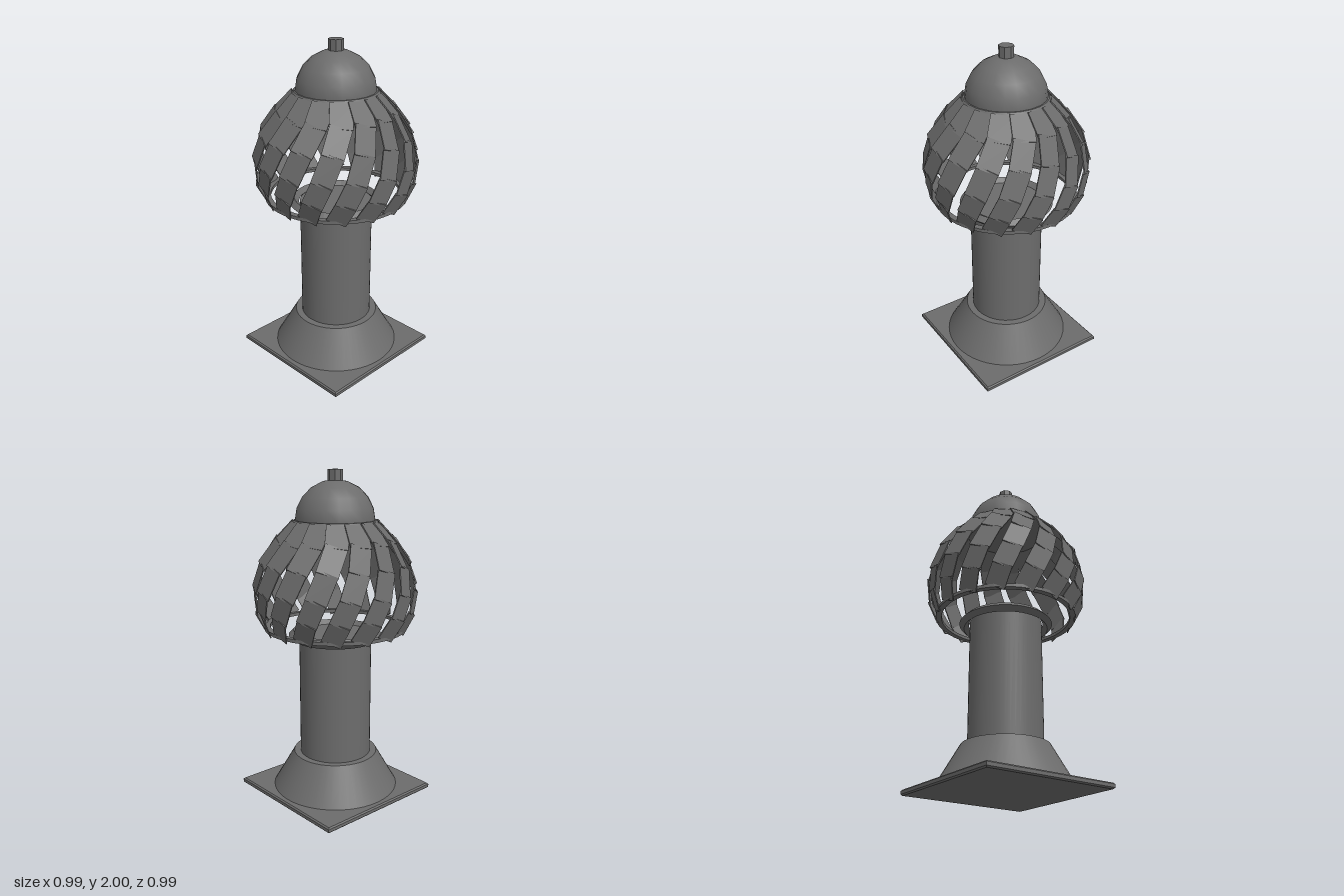
import * as THREE from 'three';

const material = new THREE.MeshStandardMaterial({ color: 0x6c6c6c });
const flatMaterial = new THREE.MeshStandardMaterial({ color: 0x6c6c6c, flatShading: true });

function add(parent, name, geometry, y = 0, mat = material) {
  const mesh = new THREE.Mesh(geometry, mat);
  mesh.name = name;
  mesh.position.y = y;
  parent.add(mesh);
  return mesh;
}

// Square plate with a small chamfer
function plateGeometry(size, height, bevel) {
  const h = size / 2 - bevel;
  const shape = new THREE.Shape([
    new THREE.Vector2(-h, -h), new THREE.Vector2(h, -h),
    new THREE.Vector2(h, h), new THREE.Vector2(-h, h),
  ]);
  const geometry = new THREE.ExtrudeGeometry(shape, {
    depth: height - 2 * bevel, bevelThickness: bevel, bevelSize: bevel, bevelSegments: 1,
  });
  return geometry.translate(0, 0, bevel).rotateX(-Math.PI / 2);
}

// Flat ring with a rectangular section
function washerGeometry(inner, outer, height) {
  const h = height / 2;
  const section = [[inner, -h], [outer, -h], [outer, h], [inner, h], [inner, -h]];
  return new THREE.LatheGeometry(section.map(([r, y]) => new THREE.Vector2(r, y)), 48);
}

// Centre line of a vane: radius, height, twist in degrees
const VANE_PATH = [
  [0.255, 1.695, 0], [0.355, 1.59, 2.5], [0.443, 1.46, 9],
  [0.484, 1.31, 16], [0.472, 1.18, 23], [0.423, 1.07, 29],
];

// One curved vane made of overlapping flat panels
function createVane() {
  const vane = new THREE.Group();
  vane.name = 'vane';
  const points = VANE_PATH.map(([r, y, deg]) => {
    const a = THREE.MathUtils.degToRad(deg);
    return new THREE.Vector3(r * Math.sin(a), y, -r * Math.cos(a));
  });
  for (let i = 0; i < points.length - 1; i++) {
    const along = points[i + 1].clone().sub(points[i]);
    const length = along.length();
    along.normalize();
    const middle = points[i].clone().add(points[i + 1]).multiplyScalar(0.5);
    const outward = new THREE.Vector3(middle.x, 0, middle.z).normalize();
    const across = along.clone().cross(outward).normalize();
    const normal = across.clone().cross(along);
    const width = 0.132 - 0.003 * i;
    const panel = add(vane, 'vanePanel', new THREE.BoxGeometry(width, length + 0.012, 0.007), 0, flatMaterial);
    panel.quaternion.setFromRotationMatrix(new THREE.Matrix4().makeBasis(across, along, normal));
    panel.position.copy(middle);
  }
  return vane;
}

export function createModel() {
  const model = new THREE.Group();
  model.name = 'turbineVentilator';

  // Base and pipe
  add(model, 'basePlate', plateGeometry(0.85, 0.035, 0.008), 0, flatMaterial);
  add(model, 'flashingCone', new THREE.CylinderGeometry(0.26, 0.39, 0.225, 48), 0.1475);
  add(model, 'pipe', new THREE.CylinderGeometry(0.22, 0.22, 0.78, 48), 0.635);
  const collar = new THREE.TorusGeometry(0.255, 0.029, 4, 48).rotateX(Math.PI / 2);
  add(model, 'pipeCollar', collar, 1.02, flatMaterial);

  // Spinning head
  const head = new THREE.Group();
  head.name = 'turbineHead';
  model.add(head);
  add(head, 'lowerRing', washerGeometry(0.395, 0.43, 0.02), 1.07, flatMaterial);

  const count = 16;
  for (let i = 0; i < count; i++) {
    const vane = createVane();
    vane.rotation.y = THREE.MathUtils.degToRad(7) - (i * 2 * Math.PI) / count;
    head.add(vane);
  }

  // Cap
  add(head, 'capFlange', new THREE.CylinderGeometry(0.245, 0.262, 0.022, 24), 1.7);
  const dome = new THREE.SphereGeometry(0.238, 20, 5, 0, Math.PI * 2, 0, Math.PI / 2);
  add(head, 'dome', dome, 1.705);
  add(head, 'topKnob', new THREE.CylinderGeometry(0.044, 0.044, 0.09, 8), 1.955, flatMaterial);

  return model;
}
